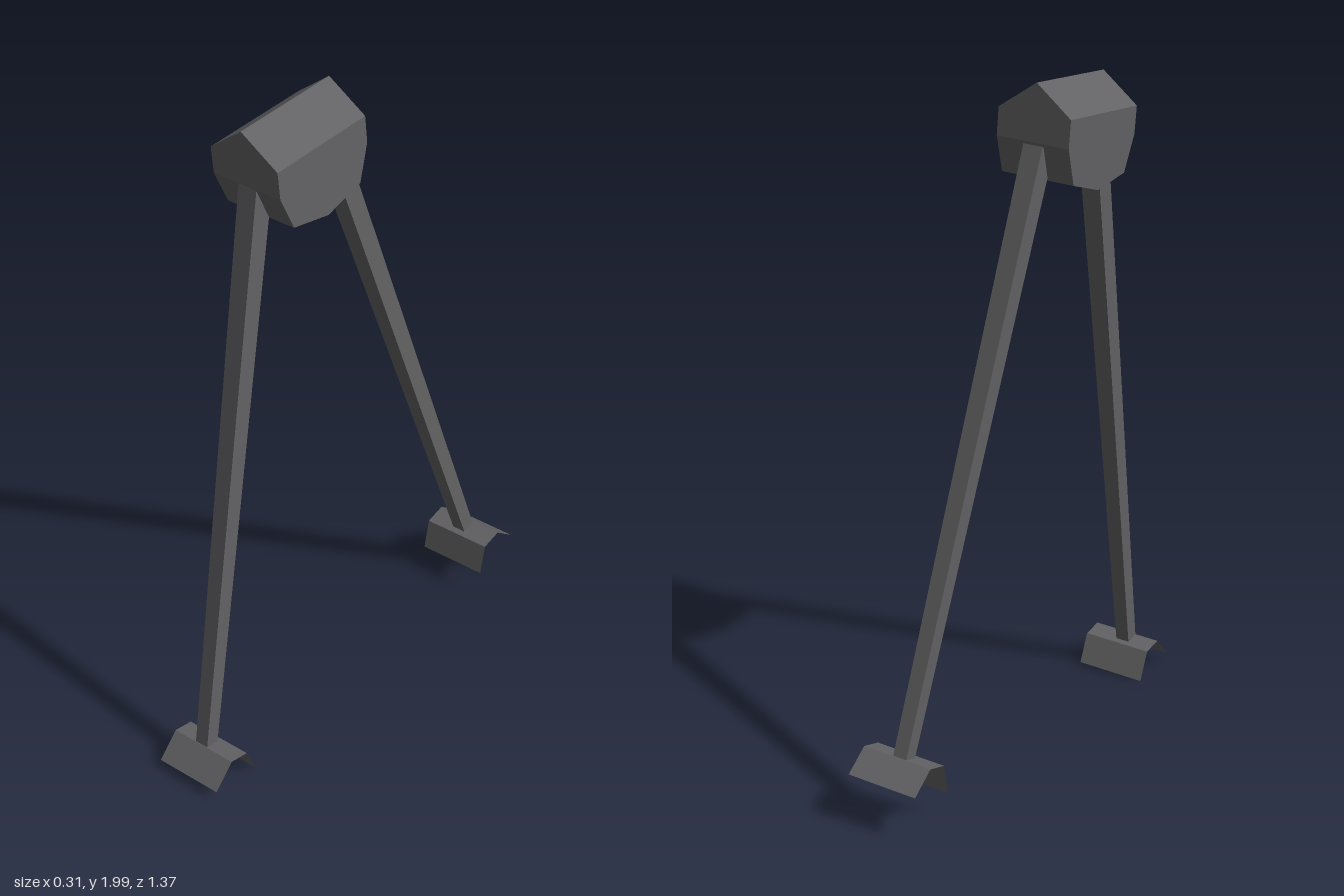
import * as THREE from 'three';
import { ConvexGeometry } from 'three/addons/geometries/ConvexGeometry.js';

const darkGrey = new THREE.MeshStandardMaterial({ color: 0x626264, flatShading: true, side: THREE.DoubleSide });
darkGrey.name = 'dark grey';

function addMesh(group, name, geometry) {
  const mesh = new THREE.Mesh(geometry, darkGrey);
  mesh.name = name;
  group.add(mesh);
  return mesh;
}

// Square tapered strut from the foot to the head
function addLeg(group, name, bottom, top) {
  const a = new THREE.Vector3(...bottom), b = new THREE.Vector3(...top);
  const dir = b.clone().sub(a);
  const geo = new THREE.CylinderGeometry(0.062 / Math.SQRT2, 0.044 / Math.SQRT2, dir.length(), 4, 1);
  geo.rotateY(Math.PI / 4);
  const leg = addMesh(group, name, geo);
  leg.position.copy(a).add(b).multiplyScalar(0.5);
  leg.quaternion.setFromUnitVectors(new THREE.Vector3(0, 1, 0), dir.normalize());
}

// Thin bent sheet: profile of [z, y] points swept along x with a slight roll
function addFoot(group, name, x, half, profile) {
  const roll = 0.04;
  const pos = [], index = [];
  profile.forEach(([z, y], i) => {
    pos.push(x - half, y - half * roll, z, x + half, y + half * roll, z);
    if (i > 0) {
      const k = 2 * i;
      index.push(k - 2, k - 1, k, k - 1, k + 1, k);
    }
  });
  const geo = new THREE.BufferGeometry();
  geo.setAttribute('position', new THREE.Float32BufferAttribute(pos, 3));
  geo.setIndex(index);
  const flat = geo.toNonIndexed();
  flat.computeVertexNormals();
  addMesh(group, name, flat);
}

export function createModel() {
  const model = new THREE.Group();
  model.name = 'twoLeggedStand';

  // Head: gabled block with a chamfered keel
  const points = [];
  const side = [[0.171, 0.085], [0.171, 0.005], [0.132, -0.1], [0, -0.131]];
  for (const s of [-1, 1]) {
    points.push(new THREE.Vector3(0, 0.168, s * 0.171));
    for (const x of [-0.117, 0.117])
      for (const [z, y] of side) points.push(new THREE.Vector3(x, y, s * z));
  }
  const head = addMesh(model, 'head', new ConvexGeometry(points));
  head.position.set(-0.033, 1.82, 0.14);
  head.rotation.set(0.07, -0.015, 0.04);

  // Legs
  addLeg(model, 'frontLeg', [0.017, 0.105, 0.597], [-0.035, 1.83, 0.275]);
  addLeg(model, 'backLeg', [0.035, 0.2, -0.588], [-0.034, 1.82, -0.004]);

  // Feet
  addFoot(model, 'frontFoot', 0.026, 0.11, [[0.687, 0.042], [0.62, 0.112], [0.556, 0.1], [0.517, 0.014]]);
  addFoot(model, 'backFoot', 0.041, 0.112, [[-0.528, 0.098], [-0.547, 0.192], [-0.612, 0.21], [-0.687, 0.155]]);

  return model;
}
